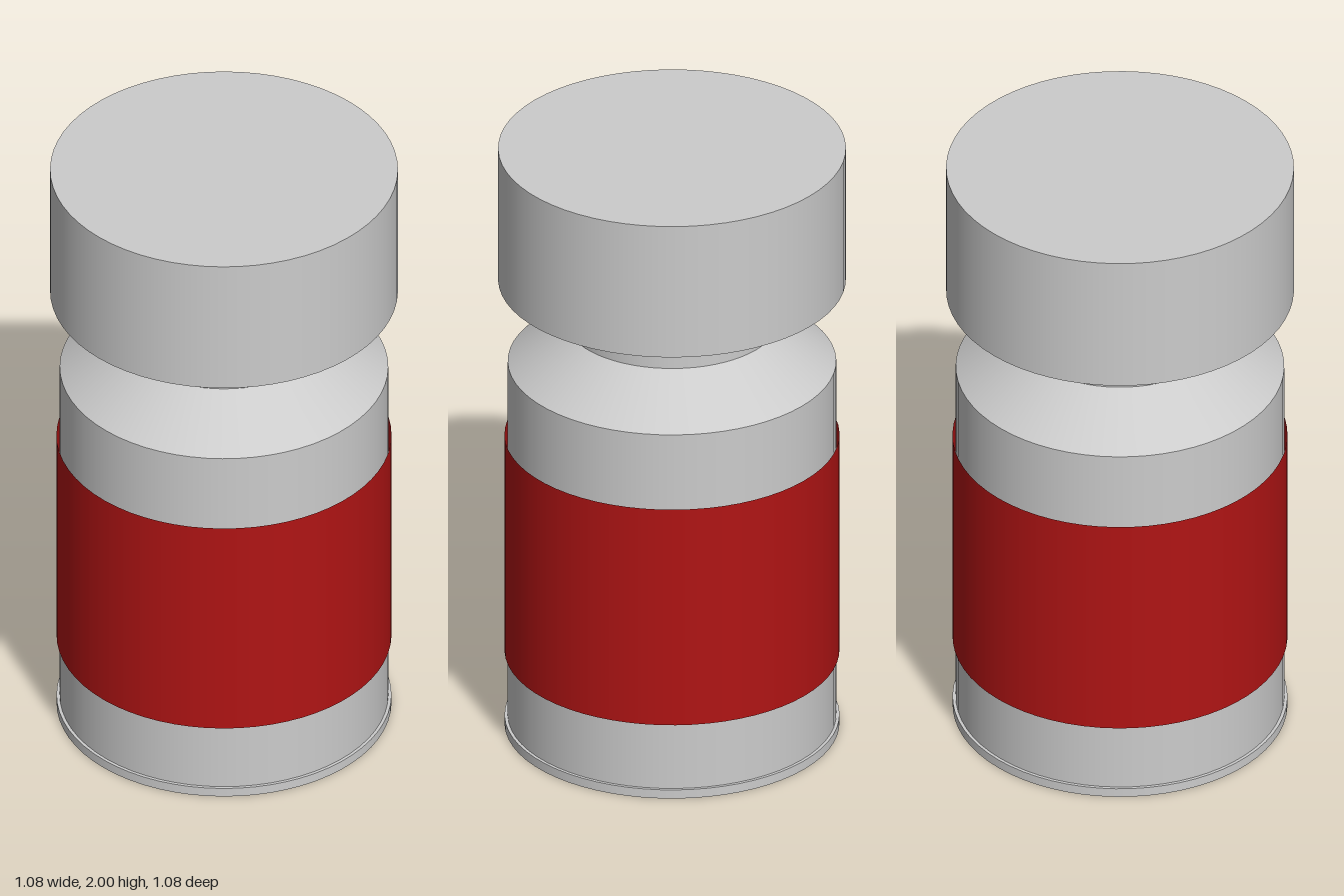
import * as THREE from 'three';

const SEGMENTS = 64;

export function createModel() {
  const group = new THREE.Group();
  const grey = new THREE.MeshStandardMaterial({ color: 0xcccccc });
  const red = new THREE.MeshStandardMaterial({ color: 0xb01414, side: THREE.DoubleSide });

  // Round section standing between two heights
  function section(name, bottomRadius, topRadius, y0, y1, material = grey, open = false) {
    const geometry = new THREE.CylinderGeometry(topRadius, bottomRadius, y1 - y0, SEGMENTS, 1, open);
    const mesh = new THREE.Mesh(geometry, material);
    mesh.name = name;
    mesh.position.y = (y0 + y1) / 2;
    group.add(mesh);
  }

  // Bottle, from the foot rim up to the neck
  section('baseRim', 0.52, 0.52, 0, 0.03);
  section('body', 0.51, 0.51, 0.03, 1.26);
  section('shoulder', 0.51, 0.33, 1.26, 1.4);
  section('neck', 0.33, 0.33, 1.4, 1.545);

  // Thin sleeve wrapped around the body
  section('label', 0.52, 0.52, 0.255, 1.005, red, true);

  // Wide cap
  section('cap', 0.54, 0.54, 1.545, 2);

  return group;
}
